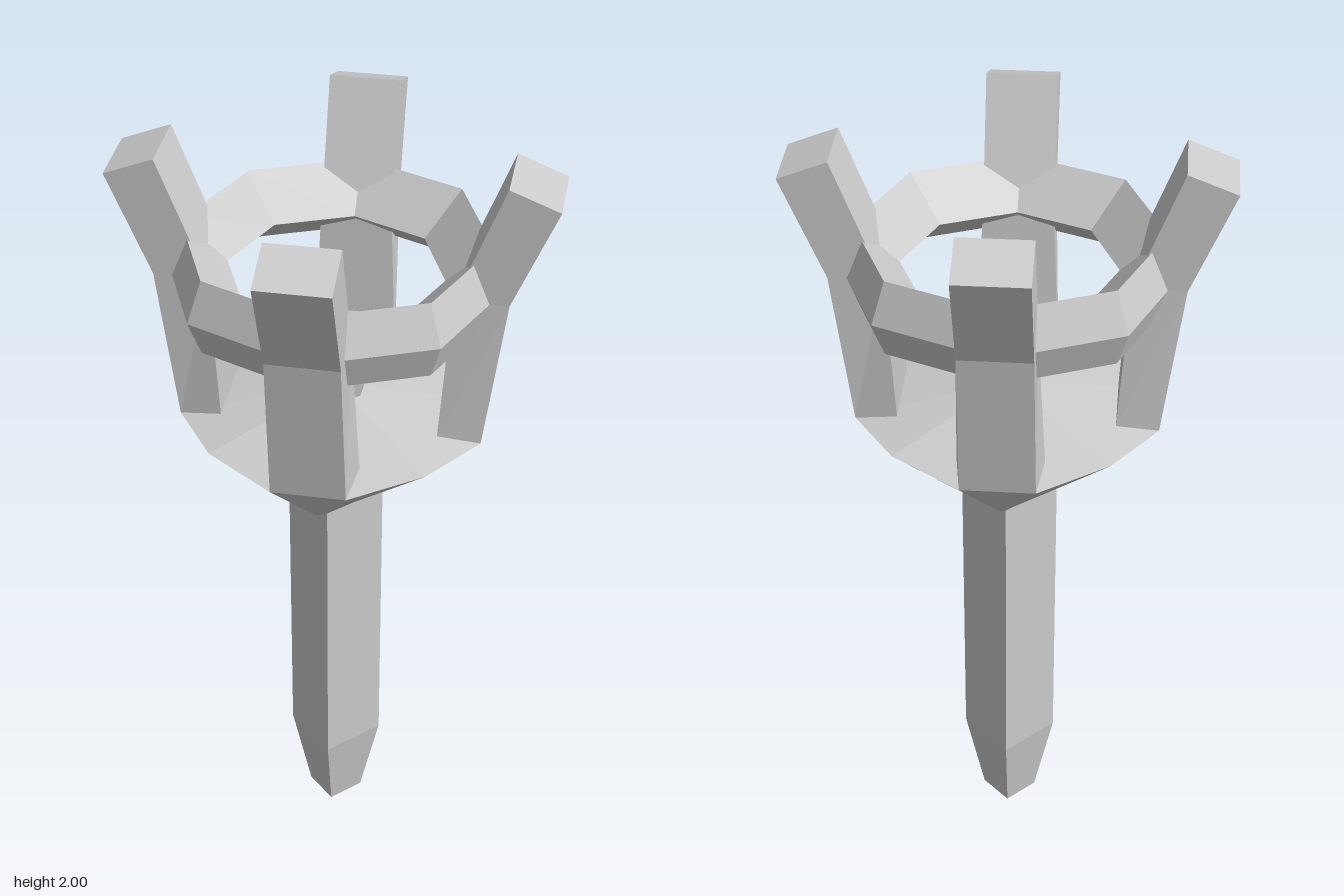
import * as THREE from 'three';

const material = new THREE.MeshStandardMaterial({ color: 0xcccccc, flatShading: true });

function addMesh(parent, geometry, name) {
  const mesh = new THREE.Mesh(geometry, material);
  mesh.name = name;
  parent.add(mesh);
  return mesh;
}

function lathe(points, sides, phiStart = 0) {
  return new THREE.LatheGeometry(points.map(([r, y]) => new THREE.Vector2(r, y)), sides, phiStart);
}

function fromFaces(points, faces) {
  const geometry = new THREE.BufferGeometry();
  geometry.setAttribute('position', new THREE.Float32BufferAttribute(points.flat(), 3));
  geometry.setIndex(faces.flat());
  const flat = geometry.toNonIndexed();
  flat.computeVertexNormals();
  return flat;
}

// One prong facing +z, skinned over four-cornered sections
function prongGeometry() {
  // outer radius, outer y, inner radius, inner y, outer half width, inner half width
  const sections = [
    [0.37, 1.31, 0.265, 1.32, 0.09, 0.105],
    [0.42, 1.70, 0.29, 1.70, 0.087, 0.087],
    [0.525, 1.953, 0.405, 2.0, 0.087, 0.087],
  ];
  const points = [];
  const faces = [];
  sections.forEach(([ro, yo, ri, yi, wo, wi], s) => {
    points.push([-wo, yo, ro], [wo, yo, ro], [wi, yi, ri], [-wi, yi, ri]);
    if (s === 0) return;
    for (let i = 0; i < 4; i++) {
      const j = (i + 1) % 4;
      const a = (s - 1) * 4 + i, b = (s - 1) * 4 + j;
      faces.push([a, b, b + 4], [a, b + 4, a + 4]);
    }
  });
  const top = (sections.length - 1) * 4;
  faces.push([top, top + 1, top + 2], [top, top + 2, top + 3]);
  return fromFaces(points, faces);
}

// A quarter of the bowl: square at the bottom, widening to an eight-sided rim
function bowlQuarterGeometry() {
  const points = [
    [0, 1.17, 0.26],       // 0 front corner
    [0.26, 1.17, 0],       // 1 side corner
    [-0.09, 1.31, 0.37],   // 2 front prong foot
    [0.09, 1.31, 0.37],    // 3
    [0.26, 1.32, 0.26],    // 4 diagonal rim corner
    [0.37, 1.31, 0.09],    // 5 side prong foot
    [0, 1.385, 0],         // 6 middle of the raised floor
  ];
  const outside = [[0, 3, 2], [0, 4, 3], [0, 1, 4], [1, 5, 4]];
  const floor = [[2, 3, 6], [3, 4, 6], [4, 5, 6]];
  return fromFaces(points, [...outside, ...floor]);
}

export function createModel() {
  const model = new THREE.Group();
  model.name = 'torch';

  // Square handle set cornerwise, pointed below and flaring into the bowl
  addMesh(model, lathe([
    [0, 0], [0.07, 0.03], [0.12, 0.26], [0.12, 1.07], [0.26, 1.17],
  ], 4), 'handle');

  // Bowl quarters and the four prongs
  const bowl = bowlQuarterGeometry();
  const prong = prongGeometry();
  for (let i = 0; i < 4; i++) {
    addMesh(model, bowl, 'bowlQuarter').rotation.y = i * Math.PI / 2;
    addMesh(model, prong, 'prong').rotation.y = i * Math.PI / 2;
  }

  // Eight-sided band joining the prongs
  addMesh(model, lathe([
    [0.41, 1.70], [0.37, 1.80], [0.26, 1.70], [0.375, 1.61], [0.41, 1.70],
  ], 8), 'ring');

  // Flared knob in the middle of the bowl
  addMesh(model, lathe([
    [0.065, 1.34], [0.108, 1.53], [0, 1.57],
  ], 8, Math.PI / 8), 'burnerKnob');

  return model;
}
